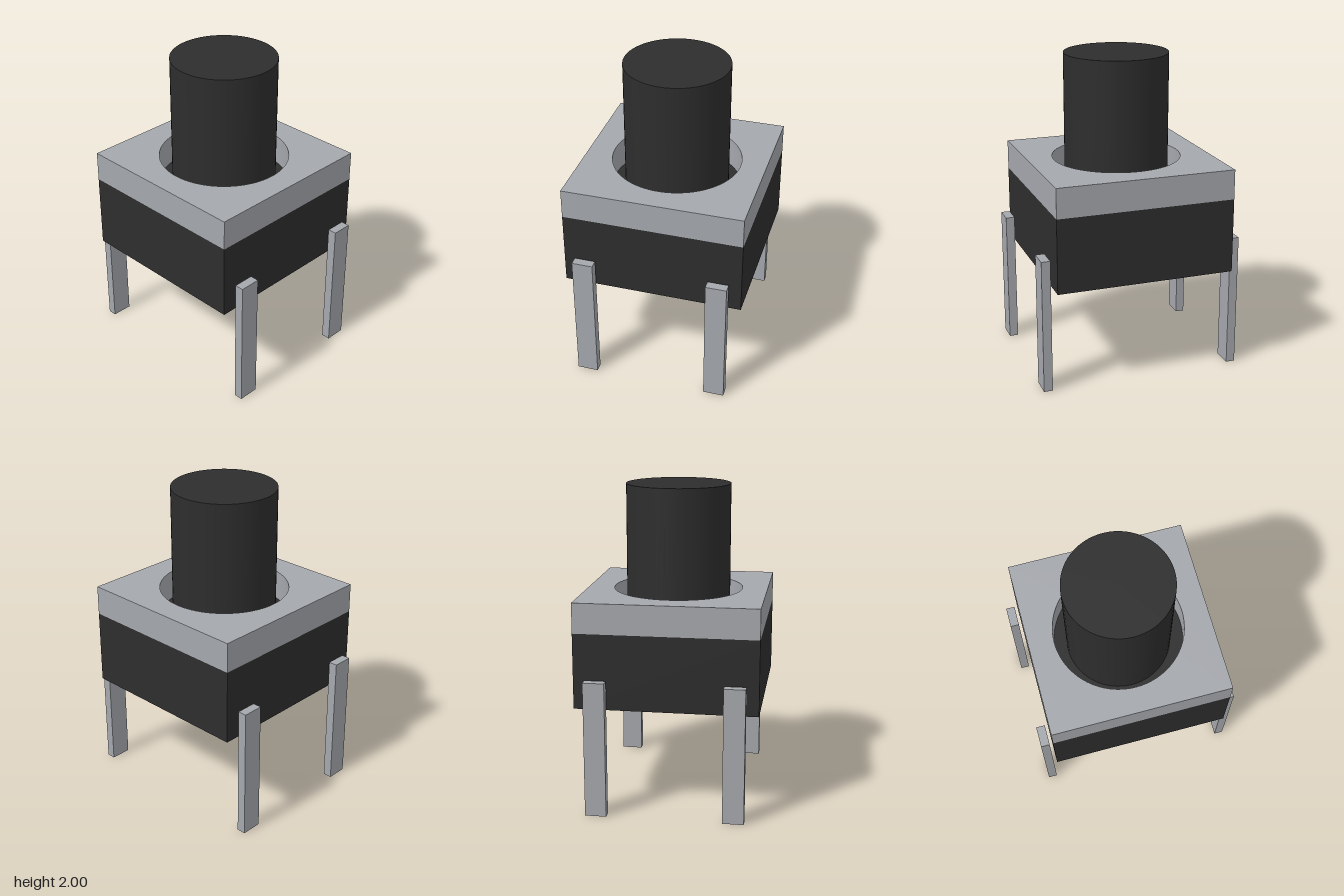
import * as THREE from 'three';
import { toCreasedNormals } from 'three/addons/utils/BufferGeometryUtils.js';

const HALF = 0.57; // half width of the square housing
const BODY_BOTTOM = 0.67, BODY_TOP = 1.145, COVER_TOP = 1.335;

export function createModel() {
  const model = new THREE.Group();
  model.name = 'pushButtonSwitch';

  const blackPlastic = new THREE.MeshStandardMaterial({ color: 0x2d2d2d });
  blackPlastic.name = 'blackPlastic';
  const steel = new THREE.MeshStandardMaterial({ color: 0xa4a7ac });
  steel.name = 'steel';

  const add = (name, geometry, material, x = 0, y = 0, z = 0) => {
    const mesh = new THREE.Mesh(geometry, material);
    mesh.name = name;
    mesh.position.set(x, y, z);
    model.add(mesh);
  };

  // Square plastic housing
  const bodyHeight = BODY_TOP - BODY_BOTTOM;
  add('housing', new THREE.BoxGeometry(HALF * 2, bodyHeight, HALF * 2), blackPlastic,
    0, BODY_BOTTOM + bodyHeight / 2, 0);

  // Metal cover with a round opening
  const outline = new THREE.Shape([
    new THREE.Vector2(-HALF, -HALF), new THREE.Vector2(HALF, -HALF),
    new THREE.Vector2(HALF, HALF), new THREE.Vector2(-HALF, HALF),
  ]);
  outline.holes.push(new THREE.Path().absarc(0, 0, 0.41, 0, Math.PI * 2, true));
  const cover = new THREE.ExtrudeGeometry(outline, {
    depth: COVER_TOP - BODY_TOP, bevelEnabled: false, curveSegments: 64,
  });
  cover.rotateX(-Math.PI / 2);
  add('cover', toCreasedNormals(cover, 0.5), steel, 0, BODY_TOP, 0);

  // Round plunger, rising through the opening
  const plungerHeight = 2 - BODY_TOP;
  add('plunger', new THREE.CylinderGeometry(0.33, 0.33, plungerHeight, 64), blackPlastic,
    0, BODY_TOP + plungerHeight / 2, 0);

  // Four flat pins beside the housing
  const pin = new THREE.BoxGeometry(0.057, 0.86, 0.133);
  for (const [side, sx] of [['Left', 1], ['Right', -1]]) {
    for (const [end, sz] of [['front', 1], ['back', -1]]) {
      add(`${end}${side}Pin`, pin, steel, sx * 0.619, 0.43, sz * 0.428);
    }
  }
  return model;
}
